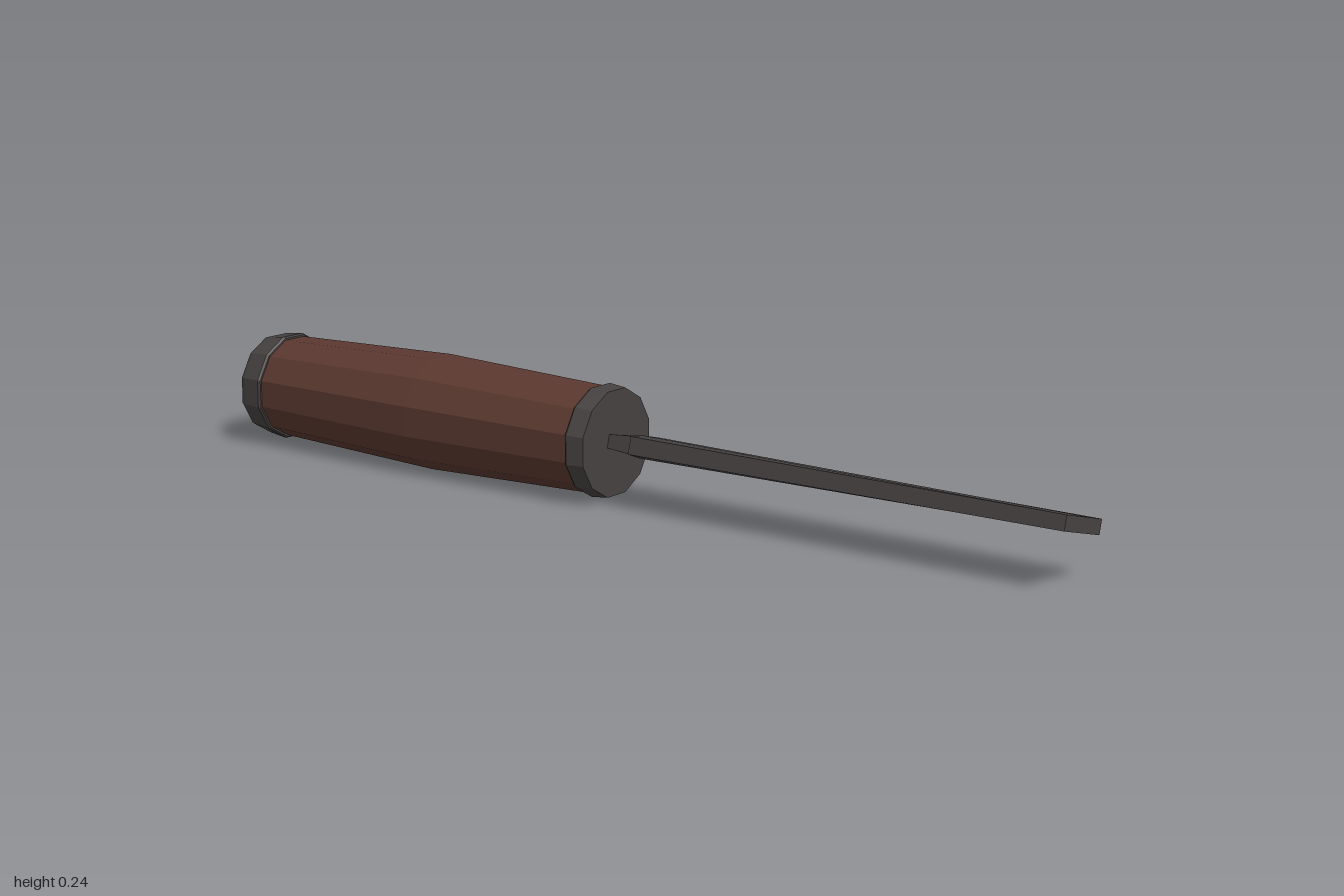
import * as THREE from 'three';

const AXIS_Y = 0.119;
const SIDES = 12;

// Twelve-sided turned part along x; profile is [x, distance from axis to flat]
function turned(name, profile, material) {
  const k = 1 / Math.cos(Math.PI / SIDES);
  const points = profile.map(([x, r]) => new THREE.Vector2(r * k, x));
  const mesh = new THREE.Mesh(new THREE.LatheGeometry(points, SIDES, Math.PI / SIDES), material);
  mesh.name = name;
  mesh.rotation.z = -Math.PI / 2;
  mesh.position.y = AXIS_Y;
  return mesh;
}

// Loft through flat sections [x, half width, half thickness, crown], closed at both ends
function loft(sections) {
  const positions = [];
  const index = [];
  const n = 8;
  for (const [x, w, t, crown] of sections) {
    const c = t + crown;
    const loop = [[w, -t], [0.4 * w, -c], [-0.4 * w, -c], [-w, -t],
      [-w, t], [-0.4 * w, c], [0.4 * w, c], [w, t]];
    for (const [z, y] of loop) positions.push(x, y, z);
  }
  const last = (sections.length - 1) * n;
  for (let s = 0; s < last; s += n) {
    for (let j = 0; j < n; j++) {
      const a = s + j, b = s + (j + 1) % n;
      index.push(a, b, b + n, a, b + n, a + n);
    }
  }
  for (let j = 1; j < n - 1; j++) {
    index.push(last, last + j, last + j + 1);
    index.push(0, j + 1, j);
  }
  const geometry = new THREE.BufferGeometry();
  geometry.setAttribute('position', new THREE.Float32BufferAttribute(positions, 3));
  geometry.setIndex(index);
  const flat = geometry.toNonIndexed();
  flat.computeVertexNormals();
  return flat;
}

export function createModel() {
  const group = new THREE.Group();
  group.name = 'chisel';

  const wood = new THREE.MeshStandardMaterial({ color: 0x5a382f });
  wood.name = 'dark wood';
  wood.flatShading = true;
  const metal = new THREE.MeshStandardMaterial({ color: 0x464141 });
  metal.name = 'dark metal';
  metal.flatShading = true;

  // Barrel-shaped handle
  group.add(turned('handle',
    [[-0.95, 0], [-0.95, 0.105], [-0.52, 0.118], [-0.09, 0.105], [-0.09, 0]], wood));

  // End cap and front ferrule
  group.add(turned('endCap',
    [[-1, 0], [-1, 0.104], [-0.99, 0.107], [-0.945, 0.112], [-0.94, 0.109], [-0.94, 0]], metal));
  group.add(turned('ferrule',
    [[-0.1, 0], [-0.1, 0.109], [-0.095, 0.112], [-0.055, 0.108], [-0.055, 0]], metal));

  // Tang, shoulder and blade, twisted slightly about the handle axis
  const blade = new THREE.Mesh(loft([
    [-0.07, 0.027, 0.013, 0],
    [0, 0.029, 0.018, 0.002],
    [0.028, 0.068, 0.018, 0.005],
    [1, 0.068, 0.015, 0],
  ]), metal);
  blade.name = 'blade';
  blade.rotation.x = -Math.PI / 12;
  blade.position.y = 0.12;
  group.add(blade);

  return group;
}
